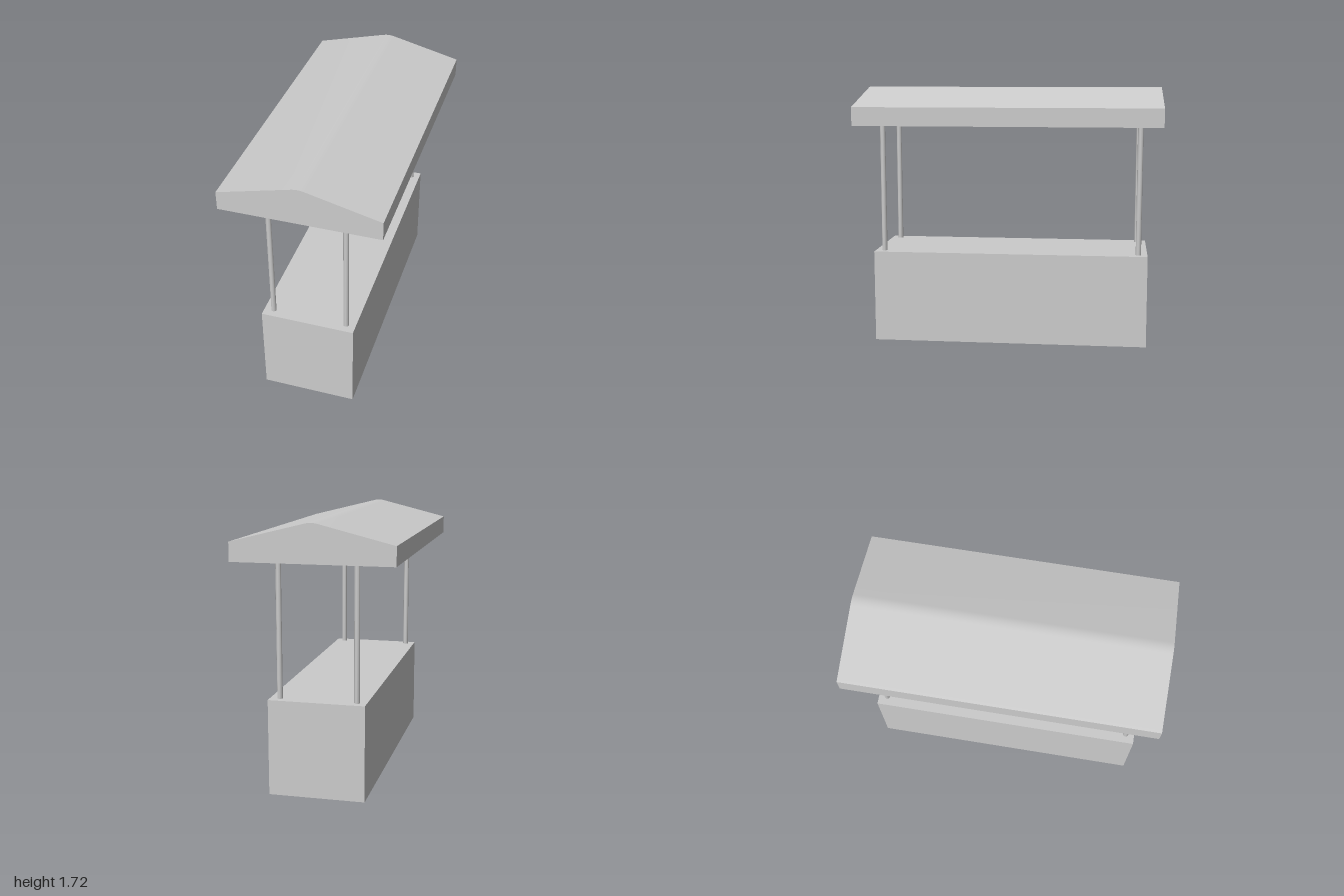
import * as THREE from 'three';
import { toCreasedNormals } from 'three/addons/utils/BufferGeometryUtils.js';

export function createModel() {
  const group = new THREE.Group();
  const material = new THREE.MeshStandardMaterial({ color: 0xcccccc });
  const add = (name, geometry, x, y, z) => {
    const mesh = new THREE.Mesh(geometry, material);
    mesh.name = name;
    mesh.position.set(x, y, z);
    group.add(mesh);
  };

  // Solid counter block
  const counterTop = 0.615;
  add('counter', new THREE.BoxGeometry(0.614, counterTop, 1.84), 0, counterTop / 2, 0);

  // Four slim octagonal posts, running slightly into counter and roof
  const eaveBottom = 1.477;
  const postHeight = eaveBottom - counterTop + 0.02;
  const postGeometry = toCreasedNormals(
    new THREE.CylinderGeometry(0.018, 0.018, postHeight, 8), Math.PI / 3);
  for (const x of [-0.245, 0.245]) {
    for (const z of [-0.86, 0.86]) {
      add('post', postGeometry, x, (eaveBottom + counterTop) / 2, z);
    }
  }

  // Gabled roof with a softly rounded ridge
  const half = 0.507, eaveTop = 1.598;
  const profile = new THREE.Shape();
  profile.moveTo(-half, eaveBottom);
  profile.lineTo(half, eaveBottom);
  profile.lineTo(half, eaveTop);
  profile.lineTo(0.04, 1.714);
  profile.quadraticCurveTo(0, 1.724, -0.04, 1.714);
  profile.lineTo(-half, eaveTop);
  profile.closePath();
  const roof = new THREE.ExtrudeGeometry(profile, { depth: 2, bevelEnabled: false, curveSegments: 6 });
  add('roof', toCreasedNormals(roof, Math.PI / 6), 0, 0, -1);

  return group;
}
